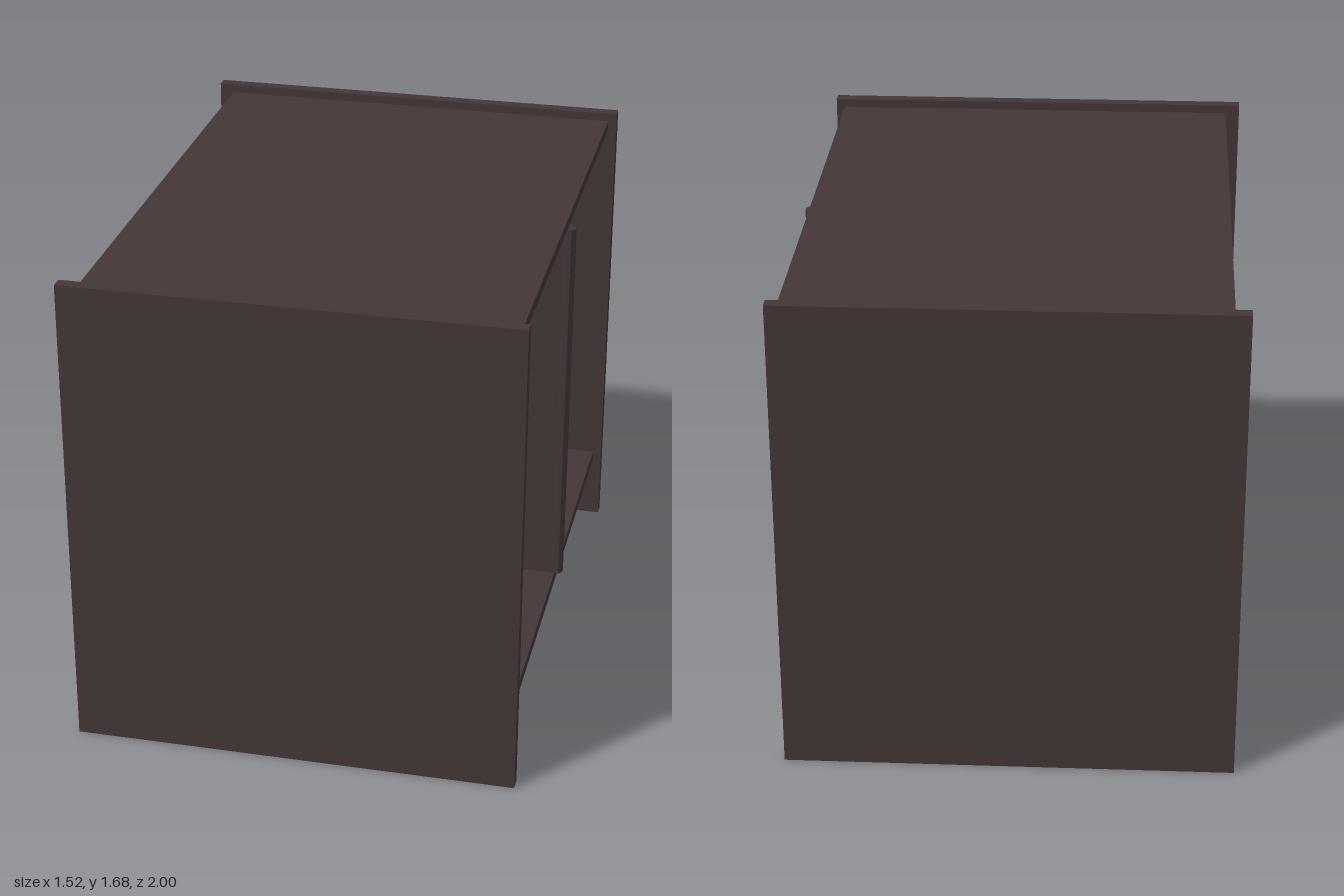
import * as THREE from 'three';

export function createModel() {
  const group = new THREE.Group();
  const darkWood = new THREE.MeshStandardMaterial({ color: 0x433636 });
  darkWood.name = 'darkWood';

  // Board given by its low and high corner
  function board(name, [x0, y0, z0], [x1, y1, z1]) {
    const mesh = new THREE.Mesh(new THREE.BoxGeometry(x1 - x0, y1 - y0, z1 - z0), darkWood);
    mesh.position.set((x0 + x1) / 2, (y0 + y1) / 2, (z0 + z1) / 2);
    mesh.name = name;
    group.add(mesh);
  }

  // End panels, which also serve as legs
  board('frontEndPanel', [-0.76, 0, 0.955], [0.76, 1.68, 1]);
  board('rearEndPanel', [-0.76, 0, -1], [0.76, 1.68, -0.955]);

  // Carcass, open on the +x side
  board('topBoard', [-0.67, 1.61, -0.955], [0.73, 1.65, 0.955]);
  board('bottomBoard', [-0.67, 0.23, -0.955], [0.73, 0.27, 0.955]);
  board('closedSidePanel', [-0.71, 0.23, -0.955], [-0.67, 1.65, 0.955]);
  board('divider', [-0.67, 0.27, -0.02], [0.73, 1.61, 0.02]);

  // Eight-sided trim rod on the edge of the divider
  const rodShape = new THREE.CylinderGeometry(0.024, 0.024, 1.34, 8).rotateY(Math.PI / 8);
  const flatRod = rodShape.toNonIndexed();
  flatRod.computeVertexNormals();
  const rod = new THREE.Mesh(flatRod, darkWood);
  rod.name = 'dividerRod';
  rod.position.set(0.735, 0.94, 0);
  group.add(rod);

  return group;
}
